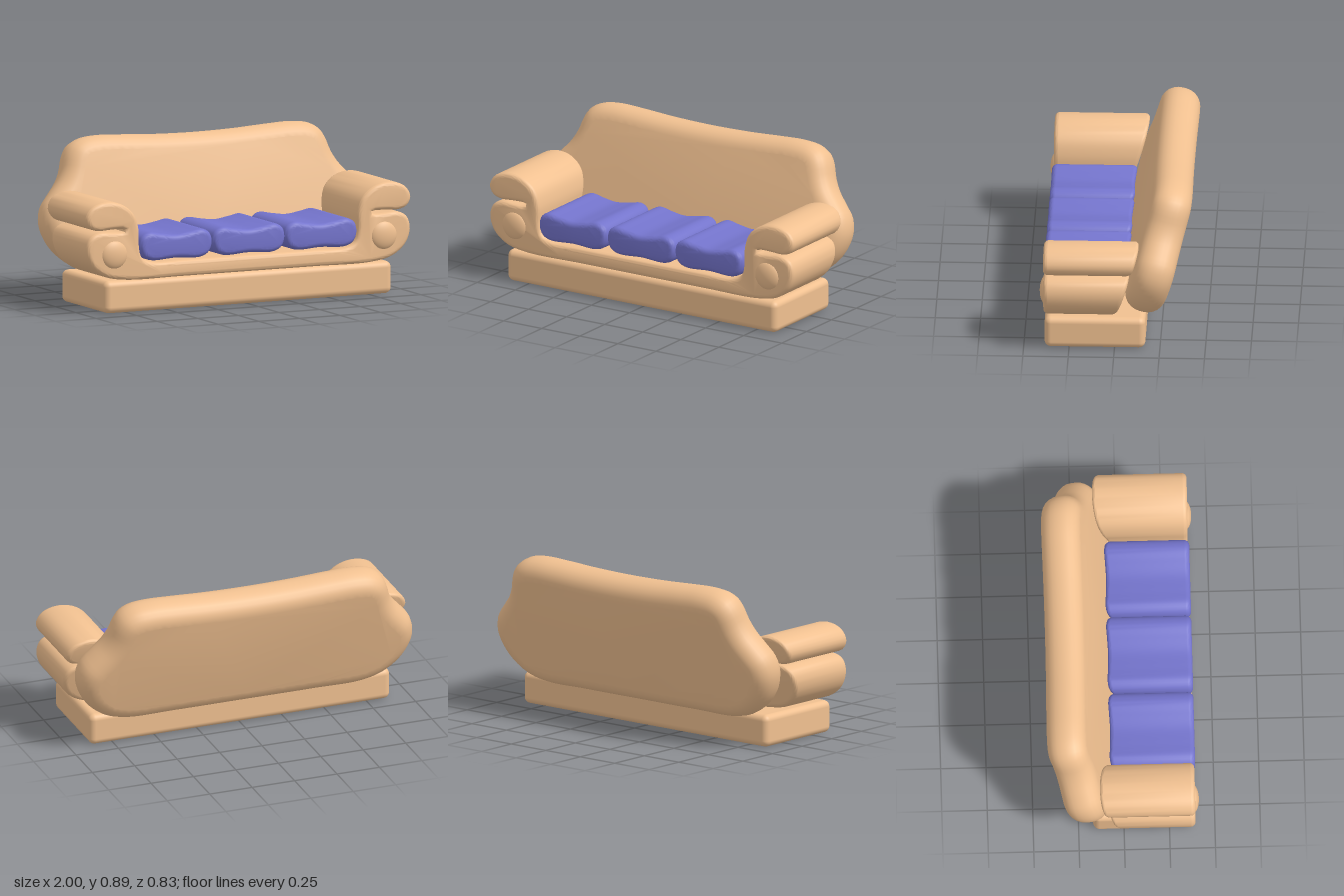
import * as THREE from 'three';
import { toCreasedNormals } from 'three/addons/utils/BufferGeometryUtils.js';
import { RoundedBoxGeometry } from 'three/addons/geometries/RoundedBoxGeometry.js';

const fabric = new THREE.MeshStandardMaterial({ color: 0xf0c090 });
const cushionFabric = new THREE.MeshStandardMaterial({ color: 0x7474cc });

// Mirrors a right-hand half outline (first and last points on x = 0) to a closed one
function mirrored(half) {
  return half.concat(half.slice(1, -1).reverse().map(([x, y]) => [-x, y]));
}

// Smooth closed outline swept from z = 0 to z = depth with rounded rims
function padded(points, depth, rim, rimDepth, samples) {
  const curve = new THREE.CatmullRomCurve3(
    points.map(([x, y]) => new THREE.Vector3(x, y, 0)), true, 'centripetal');
  const outline = curve.getSpacedPoints(samples).slice(0, -1)
    .map((p) => new THREE.Vector2(p.x, p.y));
  const geo = new THREE.ExtrudeGeometry(new THREE.Shape(outline), {
    depth: depth - 2 * rimDepth, steps: 1, bevelEnabled: true, bevelSegments: 6,
    bevelSize: rim, bevelOffset: -rim, bevelThickness: rimDepth,
  });
  geo.translate(0, 0, rimDepth);
  return geo;
}

// Places the front at zFront and slopes the rear end to follow the reclined back
function fitToBack(geo, depth, zFront) {
  const pos = geo.attributes.position;
  for (let i = 0; i < pos.count; i++) {
    const z = pos.getZ(i);
    const slope = z < depth / 2 ? -0.315 * pos.getY(i) : 0;
    pos.setZ(i, z + zFront - depth + slope);
  }
  return geo;
}

export function createModel() {
  const group = new THREE.Group();
  const add = (name, geo, material = fabric) => {
    const mesh = new THREE.Mesh(geo, material);
    mesh.name = name;
    group.add(mesh);
    return mesh;
  };

  // Plinth
  add('base', new RoundedBoxGeometry(1.77, 0.18, 0.555, 5, 0.035))
    .position.set(0, 0.09, 0.108);

  // Seat deck and both curled arms as one section
  const bodyOutline = mirrored([
    [0, 0.18], [0.4, 0.18], [0.76, 0.182], [0.89, 0.21], [0.97, 0.275], [0.997, 0.36],
    [0.975, 0.425], [0.92, 0.452], [0.84, 0.45], [0.77, 0.448], [0.755, 0.456],
    [0.77, 0.465], [0.84, 0.466], [0.93, 0.464], [0.98, 0.485], [1.0, 0.535],
    [0.965, 0.592], [0.88, 0.62], [0.78, 0.603], [0.705, 0.545], [0.675, 0.46],
    [0.672, 0.36], [0.655, 0.3], [0.6, 0.272], [0.4, 0.27], [0, 0.27],
  ]);
  const bodyDepth = 0.334;
  add('seatAndArms', toCreasedNormals(
    fitToBack(padded(bodyOutline, bodyDepth, 0.025, 0.025, 300), bodyDepth, 0.39), 0.9));

  // Round buttons on the arm fronts
  for (const side of [-1, 1]) {
    const button = add('armButton', new THREE.SphereGeometry(1, 32, 20));
    button.scale.set(0.082, 0.082, 0.037);
    button.position.set(side * 0.83, 0.327, 0.376);
  }

  // Reclined backrest with flared wings
  const backOutline = mirrored([
    [0, -0.375], [0.4, -0.375], [0.7, -0.37], [0.83, -0.325], [0.935, -0.225],
    [0.982, -0.1], [0.965, 0], [0.91, 0.07], [0.855, 0.135], [0.82, 0.2],
    [0.798, 0.27], [0.765, 0.325], [0.7, 0.362], [0.6, 0.375], [0.45, 0.37],
    [0.25, 0.359], [0, 0.354],
  ]);
  const back = padded(backOutline, 0.22, 0.095, 0.1, 160);
  back.translate(0, 0, -0.11);
  back.rotateX(-0.27);
  back.translate(0, 0.52, -0.235);
  add('backrest', toCreasedNormals(back, 0.9));

  // Three seat cushions with a gentle dip in the top
  const cushionOutline = [
    [-0.2, 0.302], [-0.15, 0.28], [0, 0.285], [0.15, 0.28], [0.2, 0.302],
    [0.222, 0.355], [0.21, 0.41], [0.165, 0.436], [0.09, 0.426], [0, 0.415],
    [-0.09, 0.426], [-0.165, 0.436], [-0.21, 0.41], [-0.222, 0.355],
  ];
  const cushionDepth = 0.34;
  for (const x of [-0.448, 0, 0.444]) {
    const geo = fitToBack(
      padded(cushionOutline, cushionDepth, 0.03, 0.03, 80), cushionDepth, 0.397);
    add('seatCushion', toCreasedNormals(geo, 0.9), cushionFabric).position.x = x;
  }
  return group;
}
